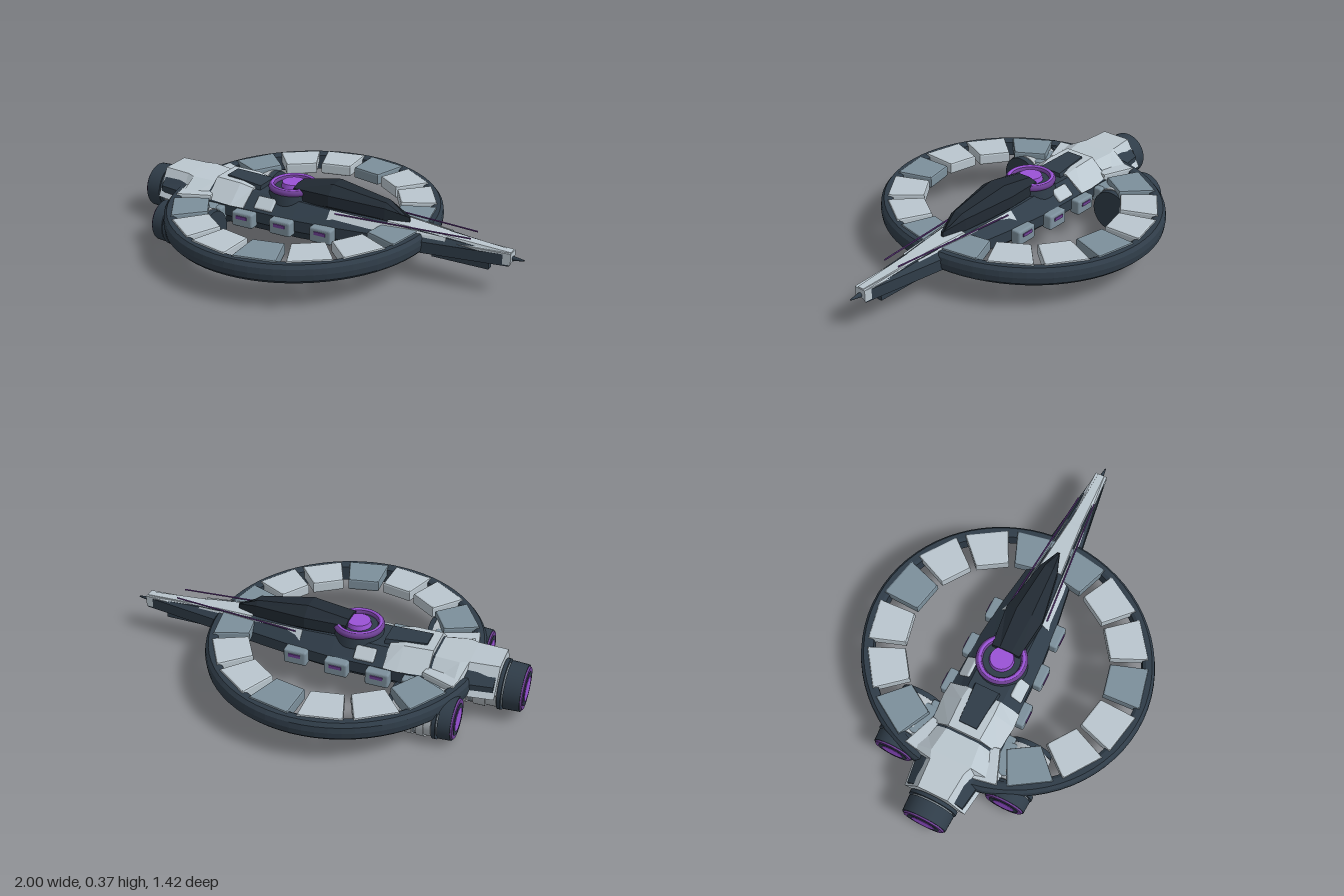
import * as THREE from 'three';
import { RoundedBoxGeometry } from 'three/addons/geometries/RoundedBoxGeometry.js';

const mat = (color, flatShading = true) => new THREE.MeshStandardMaterial({ color, flatShading });
const DARK = mat(0x2f3c48), DEEP = mat(0x222b34), LIGHT = mat(0xbac6ce), MID = mat(0x7c8f9b);
const GLOW = mat(0xa55be6), VIOLET = mat(0x6d3f93);
const DARK_S = mat(0x2f3c48, false), LIGHT_S = mat(0xb4bcc2, false), MID_S = mat(0x7c878f, false);
const GLOW_S = mat(0x9a52d6, false), VIOLET_S = mat(0x6d3f93, false);

export function createModel() {
  const ship = new THREE.Group();
  ship.name = 'ship';

  const add = (name, geo, material, x = 0, y = 0, z = 0, parent = ship) => {
    const m = new THREE.Mesh(geo, material);
    m.name = name;
    m.position.set(x, y, z);
    parent.add(m);
    return m;
  };

  // Skin between cross-sections [x, [[z, y], ...]] along x, closed at both ends
  const loft = (sections) => {
    const p = [];
    const put = (s, j) => p.push(s[0], s[1][j][1], s[1][j][0]);
    const n = sections[0][1].length;
    for (let i = 0; i + 1 < sections.length; i++) {
      const a = sections[i], b = sections[i + 1];
      for (let j = 0; j < n; j++) {
        const k = (j + 1) % n;
        put(a, j); put(b, j); put(b, k);
        put(a, j); put(b, k); put(a, k);
      }
    }
    const first = sections[0], last = sections[sections.length - 1];
    for (let j = 1; j + 1 < n; j++) {
      put(first, 0); put(first, j); put(first, j + 1);
      put(last, 0); put(last, j + 1); put(last, j);
    }
    const g = new THREE.BufferGeometry();
    g.setAttribute('position', new THREE.Float32BufferAttribute(p, 3));
    g.computeVertexNormals();
    return g;
  };

  // Eight-sided body section and four-sided armour section
  const body = ([x, w, top, mid, bot, tw, bw]) => [x, [
    [w, mid + 0.025], [tw, top], [-tw, top], [-w, mid + 0.025],
    [-w, mid - 0.03], [-bw, bot], [bw, bot], [w, mid - 0.03]]];
  const armour = ([x, w, low, top, tw]) => [x, [[w, low], [tw, top], [-tw, top], [-w, low]]];

  // Hull
  add('hull', loft([
    [-0.87, 0.14, 0.275, 0.19, 0.09, 0.07, 0.06],
    [-0.6, 0.18, 0.275, 0.19, 0.075, 0.09, 0.08],
    [-0.1, 0.167, 0.272, 0.18, 0.075, 0.09, 0.08],
    [0.1, 0.148, 0.262, 0.18, 0.085, 0.085, 0.07],
    [0.52, 0.085, 0.24, 0.18, 0.135, 0.05, 0.035],
    [0.94, 0.028, 0.205, 0.185, 0.168, 0.015, 0.012],
  ].map(body)), DARK);

  // Light armour over the stern, shoulders and nose
  add('sternArmour', loft([
    [-0.88, 0.155, 0.16, 0.29, 0.075], [-0.74, 0.175, 0.16, 0.287, 0.085],
    [-0.7, 0.25, 0.2, 0.285, 0.1], [-0.58, 0.2, 0.2, 0.278, 0.085],
  ].map(armour)), LIGHT);
  add('shoulderArmour', loft([
    [-0.57, 0.17, 0.22, 0.302, 0.08], [-0.43, 0.185, 0.215, 0.298, 0.085],
    [-0.36, 0.18, 0.215, 0.283, 0.08],
  ].map(armour)), LIGHT);
  add('spinePlate', loft([
    [-0.53, 0.05, 0.27, 0.309, 0.045], [-0.33, 0.07, 0.26, 0.295, 0.06],
  ].map(armour)), DARK);
  add('noseArmour', loft([
    [0.35, 0.09, 0.2, 0.256, 0.055], [0.62, 0.06, 0.2, 0.24, 0.03], [0.64, 0.055, 0.19, 0.237, 0.028],
    [0.94, 0.028, 0.185, 0.219, 0.016],
  ].map(armour)), LIGHT);
  add('noseCore', loft([
    [0.63, 0.05, 0.23, 0.19, 0.145, 0.025, 0.025], [0.945, 0.03, 0.216, 0.192, 0.172, 0.016, 0.016],
  ].map(body)), LIGHT);

  // Canopy ridge
  add('canopy', loft([
    [-0.14, 0.07, 0.338, 0.3, 0.25, 0.03, 0.06], [0.06, 0.093, 0.374, 0.31, 0.25, 0.04, 0.06],
    [0.33, 0.045, 0.33, 0.285, 0.235, 0.022, 0.035], [0.44, 0.006, 0.255, 0.25, 0.22, 0.003, 0.004],
  ].map(body)), DEEP);

  // Cylinder lying along x
  const barrel = (name, x0, x1, r0, r1, m, y, z) => {
    const g = new THREE.CylinderGeometry(r1, r0, x1 - x0, 32);
    g.rotateZ(-Math.PI / 2);
    return add(name, g, m, (x0 + x1) / 2, y, z);
  };
  barrel('noseTip', 0.94, 1.0, 0.012, 0.003, DARK_S, 0.186, 0);
  add('chinFin', new THREE.BoxGeometry(0.28, 0.06, 0.03), DARK, 0.7, 0.14, 0);

  // Reactor dome on the back
  add('domeBase', new THREE.CylinderGeometry(0.115, 0.125, 0.06, 40), DARK_S, -0.18, 0.275, 0);
  const rim = new THREE.TorusGeometry(0.106, 0.017, 10, 48);
  rim.rotateX(Math.PI / 2);
  add('domeRim', rim, VIOLET_S, -0.18, 0.307, 0);
  const rimLine = new THREE.TorusGeometry(0.104, 0.008, 8, 48);
  rimLine.rotateX(Math.PI / 2);
  add('domeRimLine', rimLine, GLOW_S, -0.18, 0.32, 0);
  add('domeCore', new THREE.CylinderGeometry(0.055, 0.062, 0.03, 32), GLOW_S, -0.18, 0.313, 0);

  // Ring with inward panels, slightly narrowed along the hull
  const ring = new THREE.Group();
  ring.name = 'ring';
  ring.position.x = -0.12;
  ring.scale.x = 0.937;
  ship.add(ring);
  const profile = [[0.645, 0.15], [0.66, 0.143], [0.69, 0.145], [0.704, 0.16], [0.708, 0.19],
    [0.704, 0.217], [0.69, 0.234], [0.66, 0.234], [0.645, 0.225], [0.645, 0.15]];
  add('ringBand', new THREE.LatheGeometry(profile.map(([r, y]) => new THREE.Vector2(r, y)), 72), DARK, 0, 0, 0, ring);
  const panelShape = new THREE.Shape([[0.49, -0.075], [0.656, -0.1], [0.656, 0.1], [0.49, 0.075]]
    .map(([x, y]) => new THREE.Vector2(x, y)));
  const panelGeo = new THREE.ExtrudeGeometry(panelShape, {
    depth: 0.04, bevelEnabled: true, bevelThickness: 0.01, bevelSize: 0.008, bevelSegments: 2 });
  panelGeo.rotateX(-Math.PI / 2);
  for (let k = 0; k < 16; k++) {
    const panel = add('ringPanel', panelGeo, k % 3 === 0 ? MID : LIGHT, 0, 0.193, 0, ring);
    panel.rotation.y = (k + 0.5) * Math.PI / 8;
  }

  // Engine: banded barrel, front cap, rear nozzle with glowing disc
  const engine = (xr, xn, xf, y, z, r) => {
    const len = xf - xn;
    barrel('engineBody', xn, xf - 0.02, r * 0.93, r * 0.96, LIGHT_S, y, z);
    for (const t of [0.15, 0.42, 0.7])
      barrel('engineBand', xn + len * t, xn + len * (t + 0.17), r, r, LIGHT_S, y, z);
    barrel('engineGroove', xn + len * 0.34, xn + len * 0.4, r * 0.95, r * 0.95, MID_S, y, z);
    barrel('engineFrontCap', xf - 0.025, xf, r * 0.97, r * 0.94, DARK_S, y, z);
    barrel('engineCollar', xn - 0.022, xn - 0.004, r, r, DARK_S, y, z);
    barrel('engineNeck', xn - 0.04, xn + 0.01, r * 0.86, r * 0.86, MID_S, y, z);
    barrel('engineNozzle', xr + 0.012, xn - 0.03, r * 0.92, r * 0.95, DARK_S, y, z);
    barrel('nozzleRim', xr + 0.004, xr + 0.016, r * 0.84, r * 0.88, VIOLET_S, y, z);
    barrel('nozzleThroat', xr + 0.002, xr + 0.012, r * 0.68, r * 0.68, DARK_S, y, z);
    barrel('nozzleGlow', xr, xr + 0.01, r * 0.5, r * 0.5, GLOW_S, y, z);
  };
  engine(-1, -0.88, -0.55, 0.15, 0, 0.12);

  for (const s of [1, -1]) {
    engine(-0.76, -0.66, -0.45, 0.115, s * 0.29, 0.109);
    add('enginePylon', new RoundedBoxGeometry(0.16, 0.05, 0.2, 2, 0.012), MID, -0.57, 0.185, s * 0.21);

    // Side pods with glowing slits
    for (const [x, z] of [[-0.52, 0.19], [-0.345, 0.19], [-0.14, 0.182], [0.07, 0.165]]) {
      add('sidePod', new RoundedBoxGeometry(0.115, 0.075, 0.055, 2, 0.01), MID, x, 0.17, s * z);
      add('podSlit', new THREE.BoxGeometry(0.06, 0.016, 0.012), VIOLET, x, 0.182, s * (z + 0.026));
    }

    // Light flank plates beside the canopy
    const flank = loft([[0.07, 0.14, 0.08], [0.64, 0.066, 0.035]].map(([x, o, i], e) => {
      const h = e ? 0.236 : 0.267;
      const pts = [[o, h - 0.055], [i + 0.01, h], [i, h - 0.03], [o - 0.02, h - 0.07]];
      return [x, s > 0 ? pts : pts.map(([z, y]) => [-z, y]).reverse()];
    }));
    add('flankPlate', flank, LIGHT);
    const patch = new RoundedBoxGeometry(0.1, 0.03, 0.07, 2, 0.008);
    add('flankPatch', patch, LIGHT, -0.26, 0.236, s * 0.13).rotation.x = s * 0.7;

    // Thin glowing rods running to the nose
    const a = new THREE.Vector3(0.1, 0.256, s * 0.1), b = new THREE.Vector3(0.76, 0.256, s * 0.042);
    add('glowRod', new THREE.TubeGeometry(new THREE.LineCurve3(a, b), 1, 0.004, 6), VIOLET);
  }
  return ship;
}
